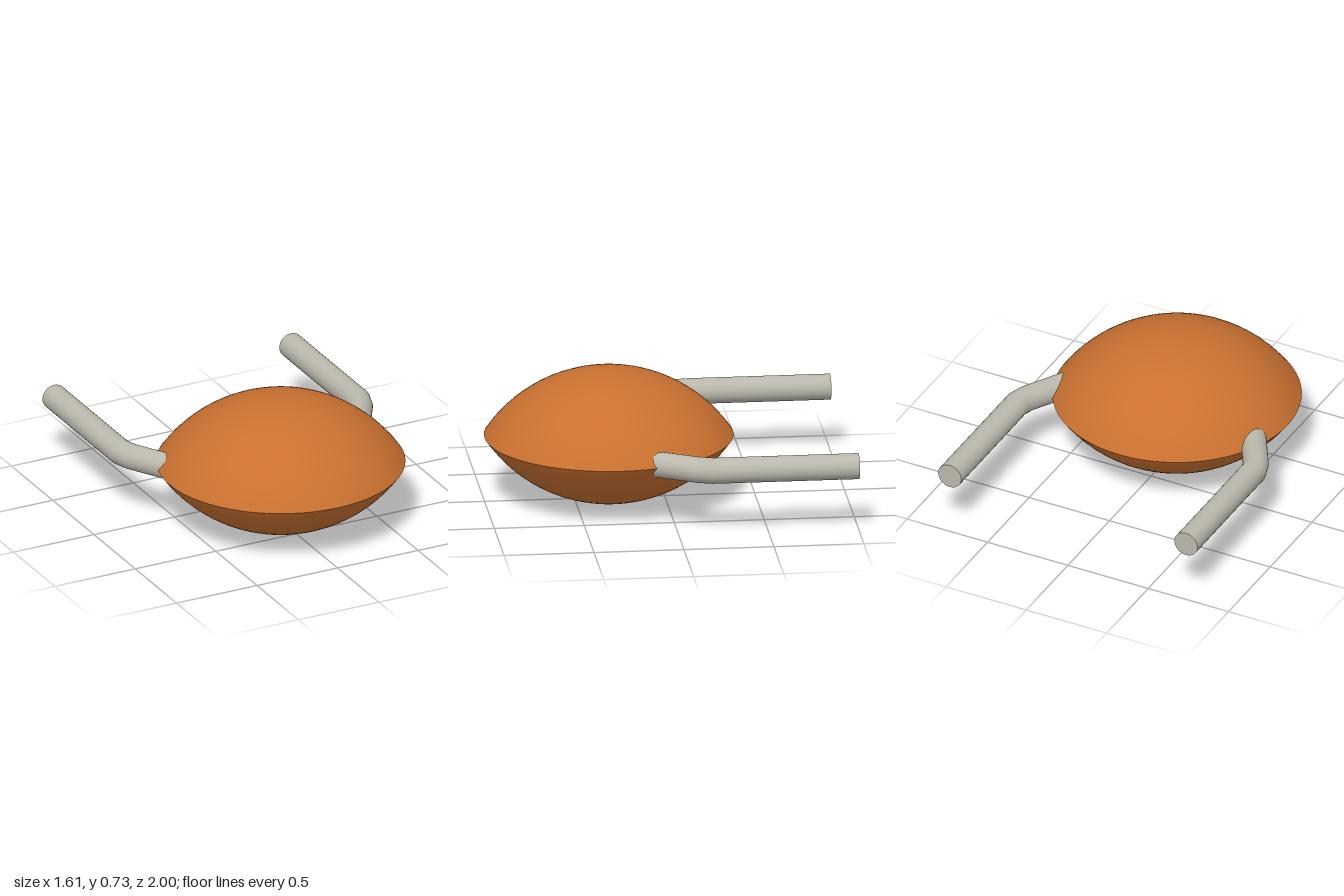
import * as THREE from 'three';

const RADIUS = 0.69;      // rim radius of the lens body
const HALF = 0.367;       // half its thickness
const ROD = 0.072;        // handle tube radius
const SIDES = 32;

// Half of the lens: a circular arc from pole to rim, revolved
function lensHalf(upper) {
  const R = (RADIUS ** 2 + HALF ** 2) / (2 * HALF);
  const rimAngle = Math.asin(RADIUS / R);
  const points = [];
  for (let i = 0; i <= 16; i++) {
    const a = rimAngle * (upper ? 1 - i / 16 : i / 16);
    const y = R * Math.cos(a) - (R - HALF);
    points.push(new THREE.Vector2(R * Math.sin(a), upper ? y : -y));
  }
  return new THREE.LatheGeometry(points, 64);
}

// Handle stations: centre x, centre z, angle of the mitred section
const stations = [
  [0.735, -1, 0],
  [0.735, -0.19, 7.5],
  [0.709, -0.112, 22.5],
  [0.558, 0.147, 30],
];

// Bent round tube swept through the stations; side mirrors it in x
function rodGeometry(side) {
  const positions = [], normals = [], index = [];
  stations.forEach(([x, z, degrees], i) => {
    const t = THREE.MathUtils.degToRad(degrees);
    for (let j = 0; j < SIDES; j++) {
      const a = side * j / SIDES * Math.PI * 2;
      const nx = Math.cos(a) * Math.cos(t), ny = Math.sin(a), nz = Math.cos(a) * Math.sin(t);
      positions.push(side * (x + ROD * nx), ROD * ny, z + ROD * nz);
      normals.push(side * nx, ny, nz);
      if (i < stations.length - 1) {
        const k = (j + 1) % SIDES, p = i * SIDES, q = p + SIDES;
        index.push(p + j, p + k, q + j, p + k, q + k, q + j);
      }
    }
  });
  const g = new THREE.BufferGeometry();
  g.setAttribute('position', new THREE.Float32BufferAttribute(positions, 3));
  g.setAttribute('normal', new THREE.Float32BufferAttribute(normals, 3));
  g.setIndex(index);
  return g;
}

export function createModel() {
  const orange = new THREE.MeshStandardMaterial({ color: 0xc87030 });
  orange.name = 'orange';
  const grey = new THREE.MeshStandardMaterial({ color: 0xbab8ac });
  grey.name = 'warm grey';

  const model = new THREE.Group();
  model.name = 'lensWithHandles';
  const add = (name, geometry, material, x, y, z) => {
    const mesh = new THREE.Mesh(geometry, material);
    mesh.name = name;
    mesh.position.set(x, y, z);
    model.add(mesh);
  };

  // Lens body, sharp at the rim
  add('upperShell', lensHalf(true), orange, 0, 0.37, 0.31);
  add('lowerShell', lensHalf(false), orange, 0, 0.37, 0.31);

  // Bent handles with flat rear ends
  for (const side of [1, -1]) {
    const name = side > 0 ? 'left' : 'right';
    add(name + 'Handle', rodGeometry(side), grey, 0, 0.37, 0);
    const cap = new THREE.CircleGeometry(ROD, SIDES).rotateY(Math.PI);
    add(name + 'HandleEnd', cap, grey, side * stations[0][0], 0.37, stations[0][1]);
  }
  return model;
}
